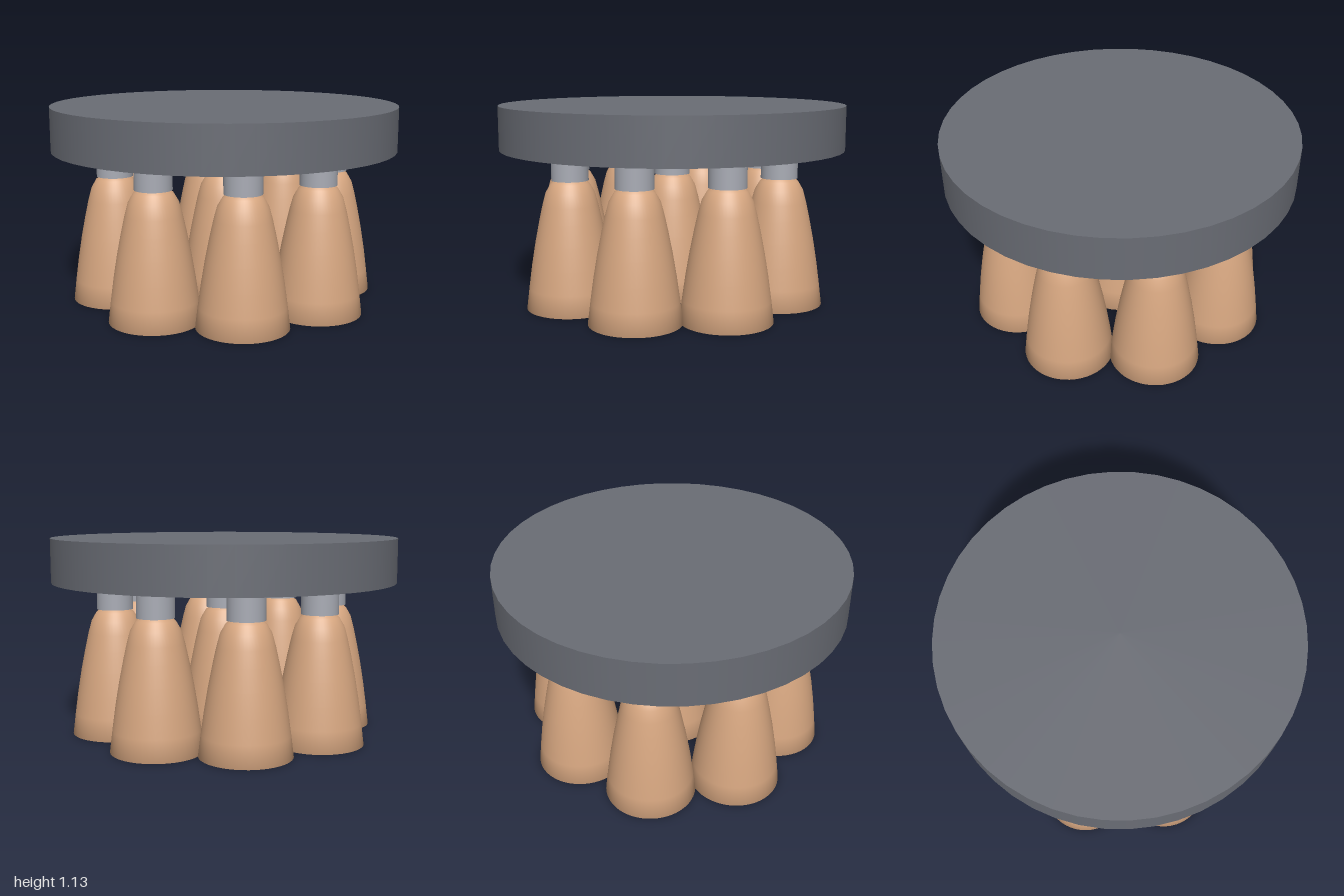
import * as THREE from 'three';

export function createModel() {
  const root = new THREE.Group();
  const plateGrey = new THREE.MeshStandardMaterial({ color: 0x6a6d75 });
  plateGrey.name = 'plateGrey';
  const mountSilver = new THREE.MeshStandardMaterial({ color: 0xa9acb5 });
  mountSilver.name = 'mountSilver';
  const bellCopper = new THREE.MeshStandardMaterial({ color: 0xd6a680 });
  bellCopper.name = 'bellCopper';

  // Thick round mounting plate
  const plate = new THREE.Mesh(new THREE.CylinderGeometry(1, 1, 0.253, 48), plateGrey);
  plate.name = 'mountingPlate';
  plate.position.y = 1.0085;
  root.add(plate);

  // Bell outline: up the outer wall from the lip to the throat
  const outer = [
    [0.255, 0], [0.24, 0.12], [0.222, 0.25], [0.2, 0.38],
    [0.176, 0.5], [0.156, 0.59], [0.137, 0.66], [0.108, 0.71], [0.078, 0.735],
  ];
  // Cavity wall, from its closed top down to the lip
  const inner = [
    [0, 0.68], [0.06, 0.67], [0.1, 0.63], [0.136, 0.5], [0.16, 0.38],
    [0.182, 0.25], [0.2, 0.12], [0.213, 0],
  ];
  const profile = [...inner, ...outer].map(([r, y]) => new THREE.Vector2(r, y));
  const bellGeometry = new THREE.LatheGeometry(profile, 48);
  const mountGeometry = new THREE.CylinderGeometry(0.104, 0.104, 0.155, 32);

  function addEngine(x, z, label) {
    const engine = new THREE.Group();
    engine.name = label;
    const bell = new THREE.Mesh(bellGeometry, bellCopper);
    bell.name = 'nozzleBell';
    const mount = new THREE.Mesh(mountGeometry, mountSilver);
    mount.name = 'nozzleMount';
    mount.position.y = 0.8045;
    engine.add(bell, mount);
    engine.position.set(x, 0, z);
    root.add(engine);
  }

  // One engine in the middle, eight in a ring around it
  addEngine(0, 0, 'centreEngine');
  for (let i = 0; i < 8; i++) {
    const a = (i * Math.PI) / 4;
    addEngine(0.64 * Math.cos(a), 0.64 * Math.sin(a), `ringEngine${i + 1}`);
  }
  return root;
}
